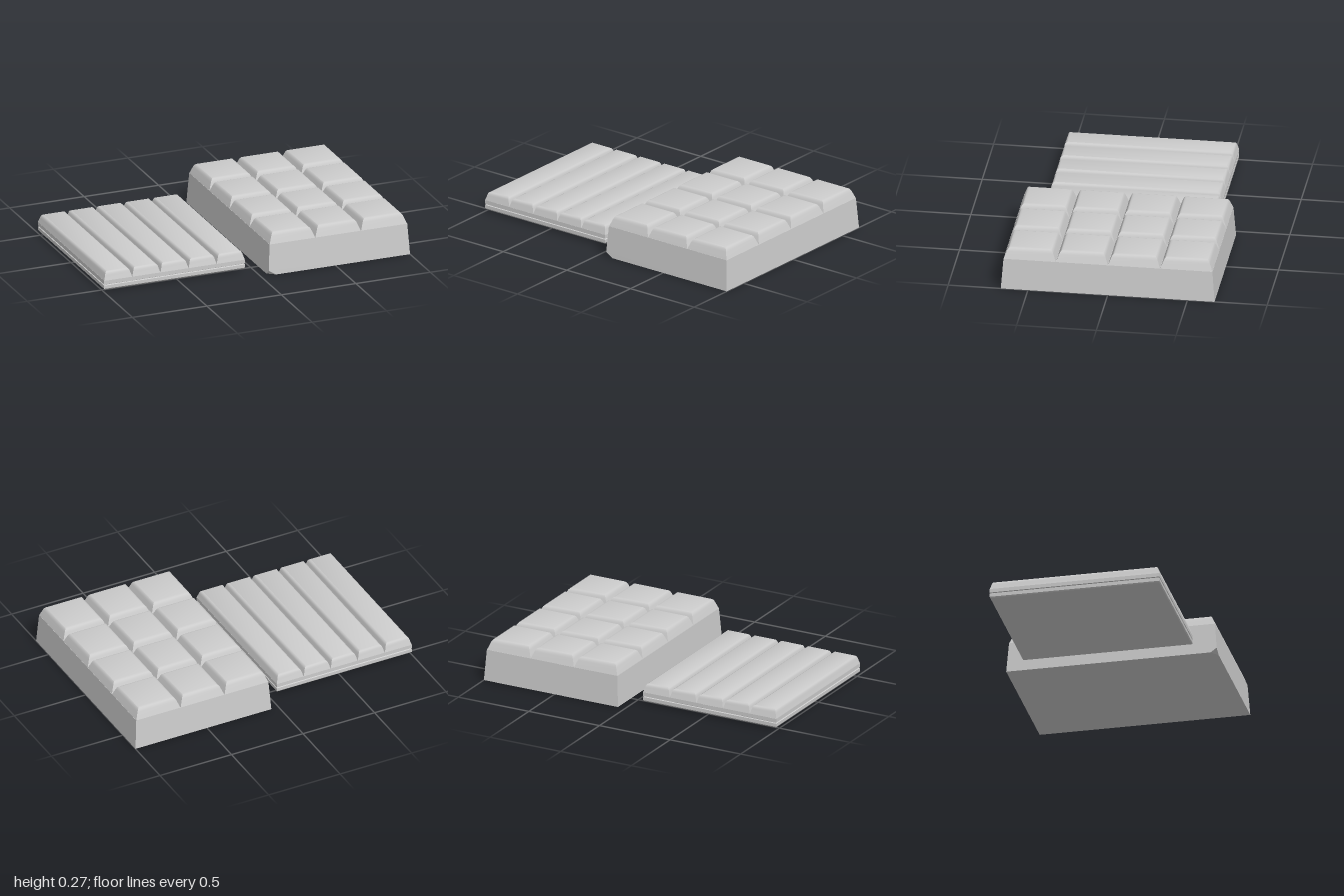
import * as THREE from 'three';
import { toCreasedNormals } from 'three/addons/utils/BufferGeometryUtils.js';
import { ConvexGeometry } from 'three/addons/geometries/ConvexGeometry.js';

const material = new THREE.MeshStandardMaterial({ color: 0xcccccc });

// Stack of rectangular sections: profile is a list of [inset, y], closed at both ends.
function stackedRect(x0, x1, z0, z1, profile) {
  const pos = [], idx = [];
  for (const [d, y] of profile) {
    pos.push(x0 + d, y, z1 - d, x1 - d, y, z1 - d, x1 - d, y, z0 + d, x0 + d, y, z0 + d);
  }
  for (let r = 0; r < profile.length - 1; r++) {
    for (let i = 0; i < 4; i++) {
      const a = r * 4 + i, b = r * 4 + (i + 1) % 4;
      idx.push(a, b, b + 4, a, b + 4, a + 4);
    }
  }
  const t = (profile.length - 1) * 4;
  idx.push(0, 2, 1, 0, 3, 2, t, t + 1, t + 2, t, t + 2, t + 3);
  const g = new THREE.BufferGeometry();
  g.setAttribute('position', new THREE.Float32BufferAttribute(pos, 3));
  g.setIndex(idx);
  return toCreasedNormals(g, 0.6);
}

function add(group, name, geometry) {
  const mesh = new THREE.Mesh(geometry, material);
  mesh.name = name;
  group.add(mesh);
}

// Bevelled segments filling every cell between the given groove lines.
function addSegments(group, name, xs, zs, profile) {
  for (let i = 0; i < xs.length - 1; i++) {
    for (let j = 0; j < zs.length - 1; j++) {
      add(group, name, stackedRect(xs[i], xs[i + 1], zs[j], zs[j + 1], profile));
    }
  }
}

export function createModel() {
  const model = new THREE.Group();
  model.name = 'chocolateBars';

  // Thick bar: tapered block with one clipped bottom corner, 3 x 4 squares on top
  const thick = new THREE.Group();
  thick.name = 'thickBar';
  const corners = [
    [0.05, 0, -0.67], [1, 0, -0.67], [1, 0, 0.67],
    [0.1, 0, 0.67], [0.05, 0, 0.63], [0.052, 0.03, 0.668],
    [0.063, 0.2, -0.655], [0.987, 0.2, -0.655], [0.987, 0.2, 0.655], [0.063, 0.2, 0.655],
  ];
  add(thick, 'thickBarBlock', new ConvexGeometry(corners.map((p) => new THREE.Vector3(...p))));
  addSegments(thick, 'square', [0.063, 0.37, 0.677, 0.987], [-0.655, -0.327, 0, 0.327, 0.655],
    [[0, 0.198], [0.018, 0.245], [0.024, 0.258], [0.032, 0.266], [0.044, 0.27]]);
  model.add(thick);

  // Thin bar: two-layer plate with a fine seam, five long fingers on top
  const thin = new THREE.Group();
  thin.name = 'thinBar';
  add(thin, 'thinBarPlate', stackedRect(-1, -0.055, -0.54, 0.54,
    [[0.006, 0.015], [0, 0.022], [0, 0.043], [0.006, 0.046], [0.006, 0.048], [0, 0.051], [0, 0.075]]));
  const xs = [0, 1, 2, 3, 4, 5].map((i) => -1 + i * 0.189);
  addSegments(thin, 'finger', xs, [-0.54, 0.54],
    [[0, 0.074], [0.01, 0.106], [0.013, 0.117], [0.018, 0.125], [0.027, 0.13]]);
  model.add(thin);

  return model;
}
